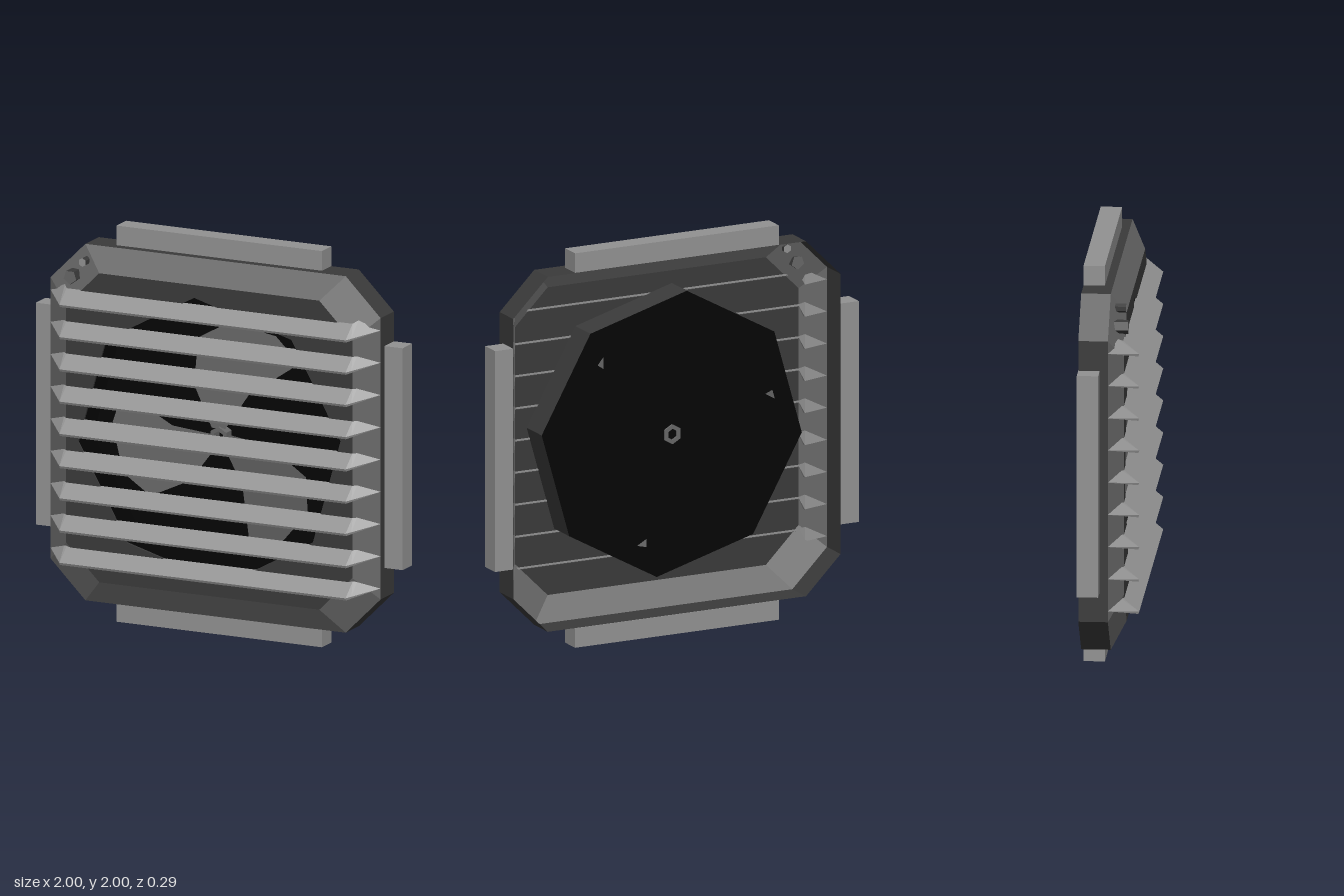
import * as THREE from 'three';

const mat = (name, color) => {
  const m = new THREE.MeshStandardMaterial({ color, side: THREE.DoubleSide, flatShading: true });
  m.name = name;
  return m;
};

// Square outline with cut corners
function octagon(half, cut) {
  const k = half - cut;
  return [[half, k], [k, half], [-k, half], [-half, k], [-half, -k], [-k, -half], [k, -half], [half, -k]];
}

// Regular polygon outline
function polygon(r, sides, start) {
  return Array.from({ length: sides }, (_, i) => {
    const a = start + (i * Math.PI * 2) / sides;
    return [r * Math.cos(a), r * Math.sin(a)];
  });
}

const toShape = (pts) => new THREE.Shape(pts.map(([x, y]) => new THREE.Vector2(x, y)));

// Skin through closed loops of 3D points, with flat facets
function loft(loops) {
  const pos = [];
  for (let j = 0; j < loops.length - 1; j++) {
    const a = loops[j], b = loops[j + 1], n = a.length;
    for (let i = 0; i < n; i++) {
      const k = (i + 1) % n;
      pos.push(...a[i], ...a[k], ...b[k], ...a[i], ...b[k], ...b[i]);
    }
  }
  const g = new THREE.BufferGeometry();
  g.setAttribute('position', new THREE.Float32BufferAttribute(pos, 3));
  g.computeVertexNormals();
  return g;
}

const atZ = (pts, z) => pts.map(([x, y]) => [x, y, z]);

export function createModel() {
  const root = new THREE.Group();
  root.name = 'wallVent';
  const light = mat('light grey metal', 0x929292);
  const midGrey = mat('mid grey metal', 0x676767);
  const dark = mat('dark grey metal', 0x3a3a3a);
  const black = mat('black', 0x040404);

  const add = (name, geo, material, x = 0, y = 1, z = 0) => {
    const m = new THREE.Mesh(geo, material);
    m.name = name;
    m.position.set(x, y, z);
    root.add(m);
    return m;
  };

  // Open-backed casing: side walls, sloped rim, front plate with fan opening
  const outer = octagon(0.9, 0.19), inner = octagon(0.78, 0.18);
  const fanRing = polygon(0.72, 8, 0.115);
  add('casingWalls', loft([atZ(outer, -0.145), atZ(outer, 0)]), dark);
  add('casingBevel', loft([atZ(outer, 0), atZ(inner, 0.07)]), midGrey);
  const plate = toShape(inner);
  plate.holes.push(toShape(fanRing));
  add('frontPlate', new THREE.ShapeGeometry(plate), dark, 0, 1, 0.07);

  // Fan drum with black lining and closed back
  const backZ = -0.09;
  const lining = polygon(0.715, 8, 0.115);
  add('fanDrum', loft([atZ(fanRing, backZ), atZ(fanRing, 0.07)]), dark);
  add('fanLining', loft([atZ(lining, backZ), atZ(lining, 0.069)]), black);
  add('fanBack', new THREE.ShapeGeometry(toShape(fanRing)), black, 0, 1, backZ);

  // Three pitched blades whose trailing corners just reach through the back
  const bladeGeo = new THREE.ShapeGeometry(toShape([
    [0.03, 0.04], [0.15, 0.22], [0.41, 0.4], [0.29, 0.53], [0.05, 0.58], [-0.11, 0.49], [-0.13, 0.25], [-0.04, 0.04],
  ]));
  const bp = bladeGeo.attributes.position;
  for (let i = 0; i < bp.count; i++) bp.setZ(i, -0.043 - 0.125 * bp.getX(i));
  bladeGeo.computeVertexNormals();
  for (let i = 0; i < 3; i++) {
    add('fanBlade', bladeGeo, midGrey).rotation.z = (i * Math.PI * 2) / 3;
  }

  // Hollow hexagonal hub
  const hub = toShape(polygon(0.05, 6, Math.PI / 6));
  hub.holes.push(toShape(polygon(0.028, 6, Math.PI / 6)));
  add('fanHub', new THREE.ExtrudeGeometry(hub, { depth: 0.07, bevelEnabled: false }), midGrey, 0, 1, backZ - 0.01);

  // Louvre slats: a slanted thin section whose ends swell behind the rim, then run to a point
  const middle = [[0.036, 0.066], [-0.03, 0.145], [-0.042, 0.14], [0.026, 0.066]];
  const shoulder = [[0.05, 0.042], [-0.025, 0.121], [-0.035, 0.117], [-0.025, 0.042]];
  const slice = (section, x) => section.map(([y, z]) => [x, y, z]);
  const tip = (x) => middle.map(() => [x, 0, 0]);
  const slat = loft([
    tip(-0.9), slice(shoulder, -0.8), slice(middle, -0.78),
    slice(middle, 0.78), slice(shoulder, 0.8), tip(0.9),
  ]);
  for (let i = 0; i < 9; i++) add('louvreSlat', slat, light, 0, 0.345 + i * 0.1628);

  // Mounting flanges on the four sides
  for (let i = 0; i < 4; i++) {
    const a = (i * Math.PI) / 2;
    add('mountingFlange', new THREE.BoxGeometry(0.099, 1.12, 0.105), light,
      0.9505 * Math.cos(a), 1 + 0.9505 * Math.sin(a), -0.0925).rotation.z = a;
  }

  // Two small dark-sided knobs on the upper corner
  const knob = (name, r, sides, length, face, x, y, z) => {
    const g = new THREE.CylinderGeometry(r, r, length, sides);
    g.rotateX(Math.PI / 2);
    add(name, g, [dark, face, face], x, y, z);
  };
  knob('largeKnob', 0.036, 5, 0.07, midGrey, -0.75, 1.747, 0.054);
  knob('smallKnob', 0.022, 6, 0.06, light, -0.69, 1.825, 0.045);

  return root;
}
